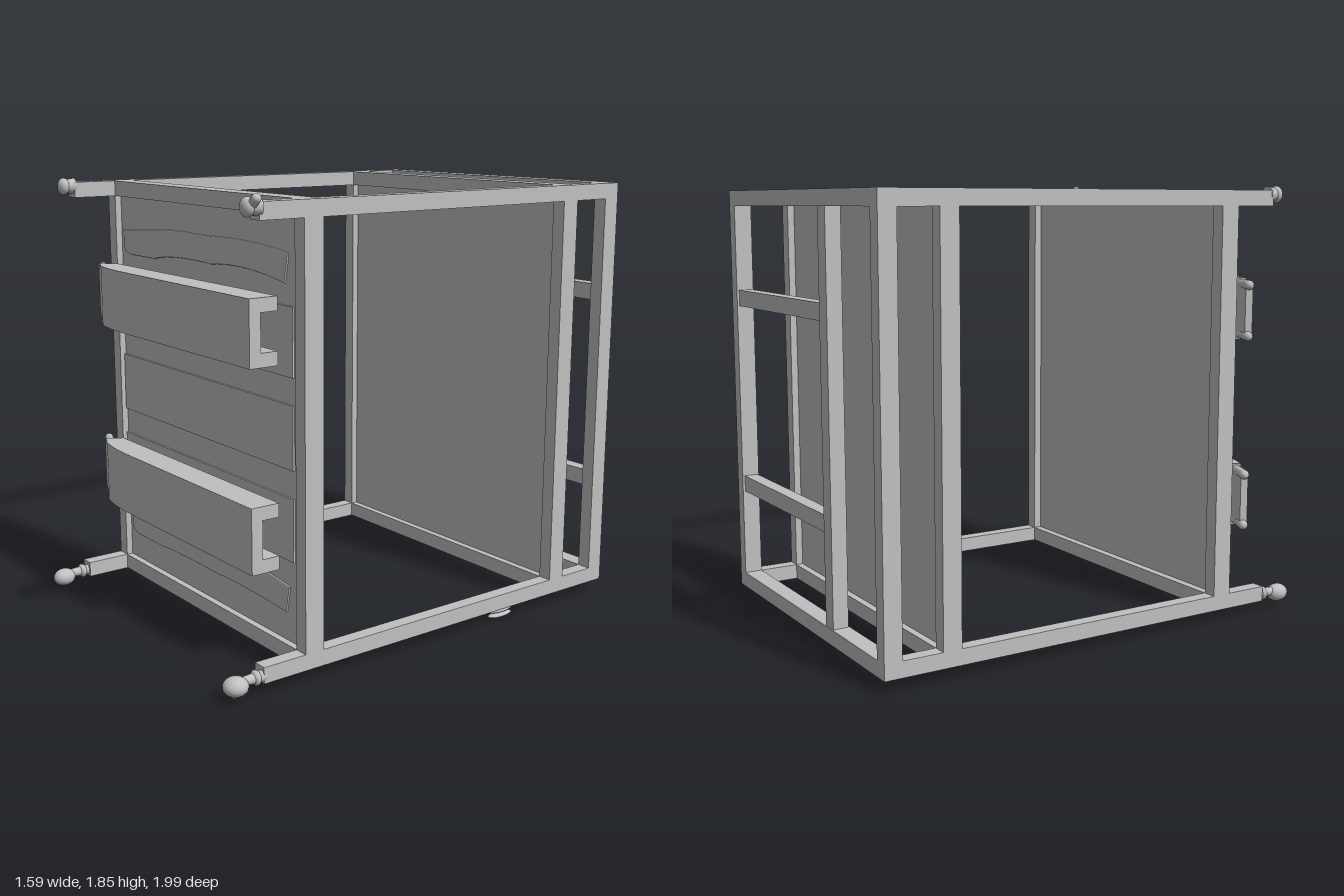
import * as THREE from 'three';

export function createModel() {
  const model = new THREE.Group();
  model.name = 'framedCart';
  const grey = new THREE.MeshStandardMaterial({ color: 0xc0c0c0 });
  grey.name = 'plain grey';

  const add = (geo, name, parent = model) => {
    const mesh = new THREE.Mesh(geo, grey);
    mesh.name = name;
    parent.add(mesh);
    return mesh;
  };
  // Box given by its extents on each axis
  const box = (name, x0, x1, y0, y1, z0, z1) => {
    const g = new THREE.BoxGeometry(x1 - x0, y1 - y0, z1 - z0);
    g.translate((x0 + x1) / 2, (y0 + y1) / 2, (z0 + z1) / 2);
    return add(g, name);
  };
  const ball = (name, x, y, z, rx, ry, rz) => {
    const m = add(new THREE.SphereGeometry(1, 20, 14), name);
    m.scale.set(rx, ry, rz);
    m.position.set(x, y, z);
    return m;
  };

  const L = -0.70, R = 0.76, W = 0.06;
  const bottom = 0.045, top = 1.815, T = 0.065;
  const frames = [[-1, -0.925, 'back'], [-0.755, -0.675, 'middle'], [0.555, 0.64, 'front']];

  // Long side rails
  for (const x of [L, R - W]) {
    for (const y of [bottom, top - T]) box('sideRail', x, x + W, y, y + T, -1, 0.83);
  }
  // Posts and cross rails of the three upright frames
  for (const [z0, z1, name] of frames) {
    for (const x of [L, R - W]) box(name + 'Post', x, x + W, bottom + T, top - T, z0, z1);
    for (const y of [bottom, top - T]) box(name + 'CrossRail', L + W, R - W, y, y + T, z0, z1);
  }

  // Back lattice: one upright with two bars to the left post
  box('backUpright', -0.245, -0.175, bottom + T, top - T, -0.995, -0.93);
  for (const y of [0.52, 1.35]) box('backBar', -0.175, R - W, y - 0.035, y + 0.035, -0.99, -0.93);

  // Panels filling the middle and front frames
  box('middlePanel', L + W, R - W, bottom + T, top - T, -0.725, -0.705);
  box('frontPanel', L + W, R - W, bottom + T, top - T, 0.59, 0.612);

  // Shallow raised fields on the front panel
  const fieldZ = [0.612, 0.62];
  box('panelField', L + W, 0.655, 0.80, 1.05, ...fieldZ);
  box('panelField', L + W, 0.655, 1.155, 1.42, ...fieldZ);
  box('panelField', L + W, 0.655, 0.44, 0.69, ...fieldZ);

  // Wavy pressed bands above and below the handles
  const band = (y0, y1, wave) => {
    const s = new THREE.Shape();
    s.moveTo(-0.61, y0 + 0.03);
    s.quadraticCurveTo(-0.60, y0, -0.54, y0);
    s.lineTo(-0.35, y0);
    s.bezierCurveTo(-0.25, y0 + wave, 0, y0 + wave, 0.1, y0 + wave * 0.7);
    s.bezierCurveTo(0.25, y0 + wave * 1.5, 0.45, y0 + wave, 0.60, y0);
    s.lineTo(0.62, y1 - 0.02);
    s.bezierCurveTo(0.3, y1 + 0.02, 0.1, y1 - 0.01, -0.1, y1);
    s.bezierCurveTo(-0.3, y1, -0.45, y1 - 0.02, -0.61, y1 - 0.03);
    const g = new THREE.ExtrudeGeometry(s, {
      depth: 0.004, bevelEnabled: true, bevelThickness: 0.004, bevelSize: 0.004, bevelSegments: 2,
    });
    g.translate(0, 0, 0.612);
    add(g, 'wavyBand');
  };
  band(1.505, 1.63, 0.028);
  band(0.23, 0.35, 0.01);

  // Extrudes a plan outline of [x, z] points upwards from y0 to y1
  const planSlab = (name, points, y0, y1, parent) => {
    const s = new THREE.Shape(points.map(([x, z]) => new THREE.Vector2(x, -z)));
    const g = new THREE.ExtrudeGeometry(s, { depth: y1 - y0, bevelEnabled: false });
    g.rotateX(-Math.PI / 2);
    g.translate(0, y0, 0);
    add(g, name, parent);
  };

  // Channel handles: open at the left end, curling back to a flared right end
  const outer = [[0.59, 0.765], [-0.40, 0.765], [-0.50, 0.758], [-0.60, 0.742], [-0.68, 0.705], [-0.77, 0.665]];
  const inner = [[-0.76, 0.635], [-0.68, 0.665], [-0.60, 0.695], [-0.50, 0.71], [-0.40, 0.715], [0.59, 0.715]];
  for (const [y0, y1] of [[0.40, 0.665], [1.195, 1.455]]) {
    const handle = new THREE.Group();
    handle.name = 'handle';
    model.add(handle);
    planSlab('handleFace', [...outer, ...inner], y0 + 0.03, y1 - 0.03, handle);
    const flange = [...outer.slice(0, 5), [-0.64, 0.64], [0.59, 0.64]];
    planSlab('handleFlange', flange, y0, y0 + 0.055, handle);
    planSlab('handleFlange', flange, y1 - 0.055, y1, handle);
    for (const y of [y0 + 0.025, y1 - 0.025]) {
      const tip = add(new THREE.CapsuleGeometry(0.02, 0.12, 6, 12), 'flareTip', handle);
      tip.rotation.set(0, -0.42, Math.PI / 2, 'YXZ');
      tip.position.set(-0.715, y, 0.668);
    }
  }

  // Feet: neck, collar and rounded pad at the lower rail ends
  for (const [x, r] of [[-0.67, 0.04], [0.74, 0.05]]) {
    const neck = add(new THREE.CylinderGeometry(0.018, 0.024, 0.09, 14), 'footNeck');
    neck.rotation.x = Math.PI / 2;
    neck.position.set(x, 0.07, 0.865);
    ball('footCollar', x, 0.07, 0.855, 0.03, 0.03, 0.018);
    ball('footPad', x, 0.06, 0.943, r, 0.038, 0.05);
  }
  ball('footStud', 0.73, 0.022, 0.94, 0.02, 0.012, 0.02);

  // Knobs on the upper rail ends, the left one with a short lever
  for (const x of [-0.67, 0.74]) {
    const knob = add(new THREE.CylinderGeometry(0.026, 0.034, 0.06, 14), 'knob');
    knob.rotation.x = Math.PI / 2;
    knob.position.set(x, 1.797, 0.85);
    ball('knobCap', x, 1.797, 0.868, 0.034, 0.036, 0.024);
  }
  const lever = add(new THREE.CapsuleGeometry(0.018, 0.05, 6, 12), 'knobLever');
  lever.rotation.z = -0.9;
  lever.position.set(0.764, 1.812, 0.858);

  // Small double disc under the left rail
  for (const y of [0.01, 0.032]) ball('underDisc', 0.73, y, -0.405, 0.022, 0.011, 0.066);
  box('underDiscStem', 0.722, 0.738, 0.01, 0.05, -0.42, -0.39);

  return model;
}
